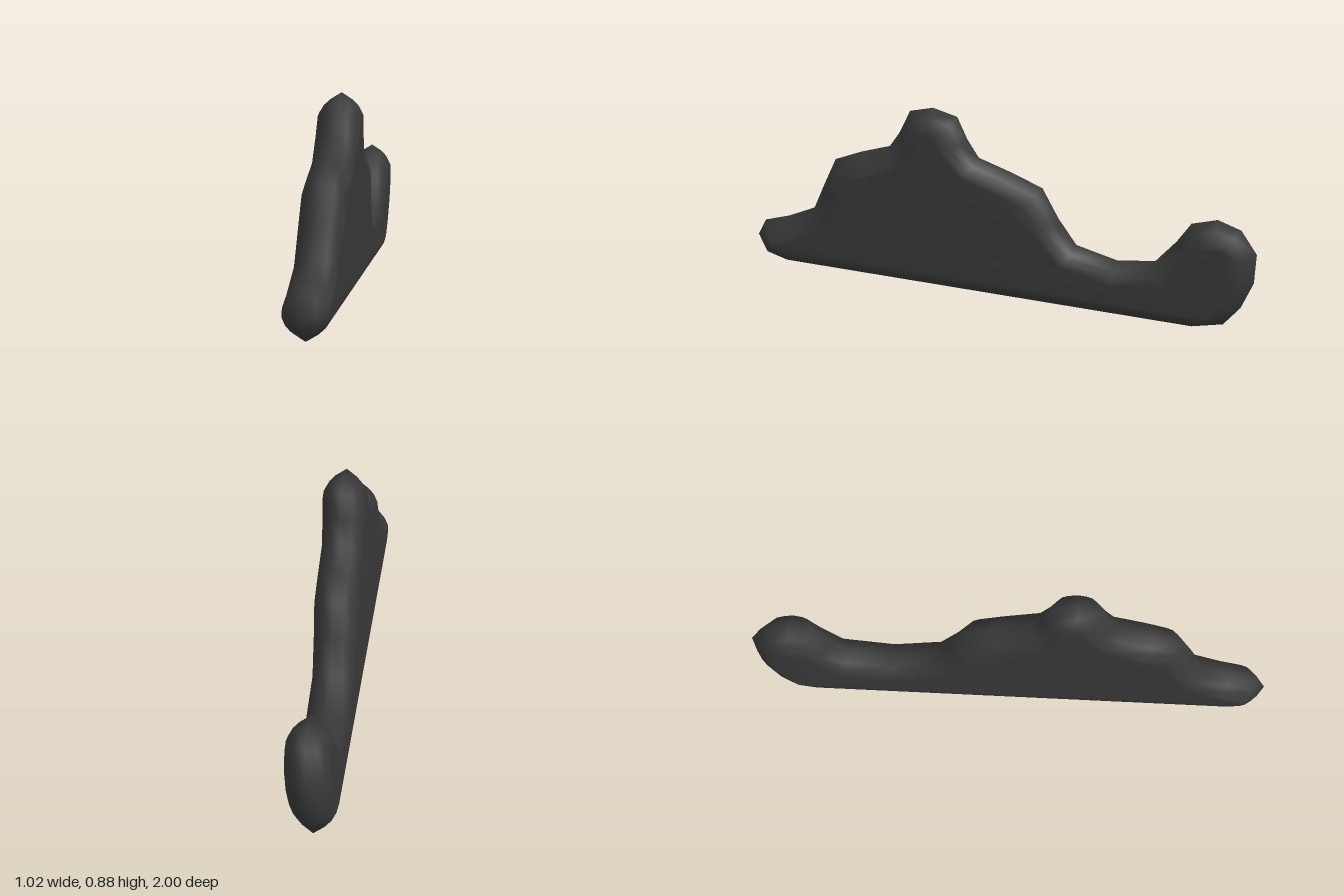
import * as THREE from 'three';

// Outline of the slab along its length (u = -z) and height, counter-clockwise
const OUTLINE = [
  [-0.87, 0.025], [0.79, 0.003], [0.9, 0.035], [0.96, 0.13], [1, 0.26], [1, 0.4],
  [0.935, 0.505], [0.845, 0.54], [0.75, 0.505], [0.7, 0.41], [0.625, 0.3],
  [0.475, 0.275], [0.32, 0.32], [0.245, 0.44], [0.18, 0.575], [0.06, 0.63],
  [-0.07, 0.68], [-0.115, 0.76], [-0.155, 0.86], [-0.25, 0.888], [-0.34, 0.86],
  [-0.385, 0.75], [-0.425, 0.68], [-0.54, 0.635], [-0.65, 0.58], [-0.705, 0.44],
  [-0.75, 0.32], [-0.86, 0.26], [-0.965, 0.22], [-1, 0.14], [-0.97, 0.06],
].map(([u, y]) => new THREE.Vector2(u, y));

// Rounded rim: [inset from the outline, offset from the middle plane]
const HALF_RIM = [[0.027, 0.045], [0.05, 0.07], [0.08, 0.088]];
const RIM = [...HALF_RIM.map(([d, w]) => [d, -w]).reverse(), [0, 0], ...HALF_RIM];

// Moves every corner inward by d along its mitre
function inset(points, d) {
  const n = points.length;
  return points.map((p, i) => {
    const a = p.clone().sub(points[(i + n - 1) % n]).normalize();
    const b = points[(i + 1) % n].clone().sub(p).normalize();
    const n1 = new THREE.Vector2(-a.y, a.x);
    const n2 = new THREE.Vector2(-b.y, b.x);
    const scale = d / (1 + n1.dot(n2));
    return p.clone().add(n1.add(n2).multiplyScalar(scale));
  });
}

// Places a slab point on the slightly leaning diagonal plane
function place(u, y, w) {
  return [-0.016 + 0.464 * u + 0.05 * y + 0.907 * w, y, -u + 0.421 * w];
}

function slabGeometry() {
  const n = OUTLINE.length;
  const positions = [];
  const index = [];
  const rings = RIM.map(([d]) => inset(OUTLINE, d));
  rings.forEach((ring, j) => ring.forEach((p) => positions.push(...place(p.x, p.y, RIM[j][1]))));

  // Rim
  for (let j = 0; j < rings.length - 1; j++) {
    for (let i = 0; i < n; i++) {
      const k = (i + 1) % n;
      const a = j * n + i, b = j * n + k, c = a + n, e = b + n;
      index.push(a, b, e, a, e, c);
    }
  }

  // Two broad faces
  const last = (rings.length - 1) * n;
  for (const [a, b, c] of THREE.ShapeUtils.triangulateShape(rings[0], [])) {
    index.push(c, b, a, last + a, last + b, last + c);
  }

  const geometry = new THREE.BufferGeometry();
  geometry.setAttribute('position', new THREE.Float32BufferAttribute(positions, 3));
  geometry.setIndex(index);
  geometry.computeVertexNormals();
  return geometry;
}

export function createModel() {
  const charcoal = new THREE.MeshStandardMaterial({ color: 0x383838 });
  charcoal.name = 'charcoal';
  const slab = new THREE.Mesh(slabGeometry(), charcoal);
  slab.name = 'roundedSlab';
  const model = new THREE.Group();
  model.name = 'model';
  model.add(slab);
  return model;
}
